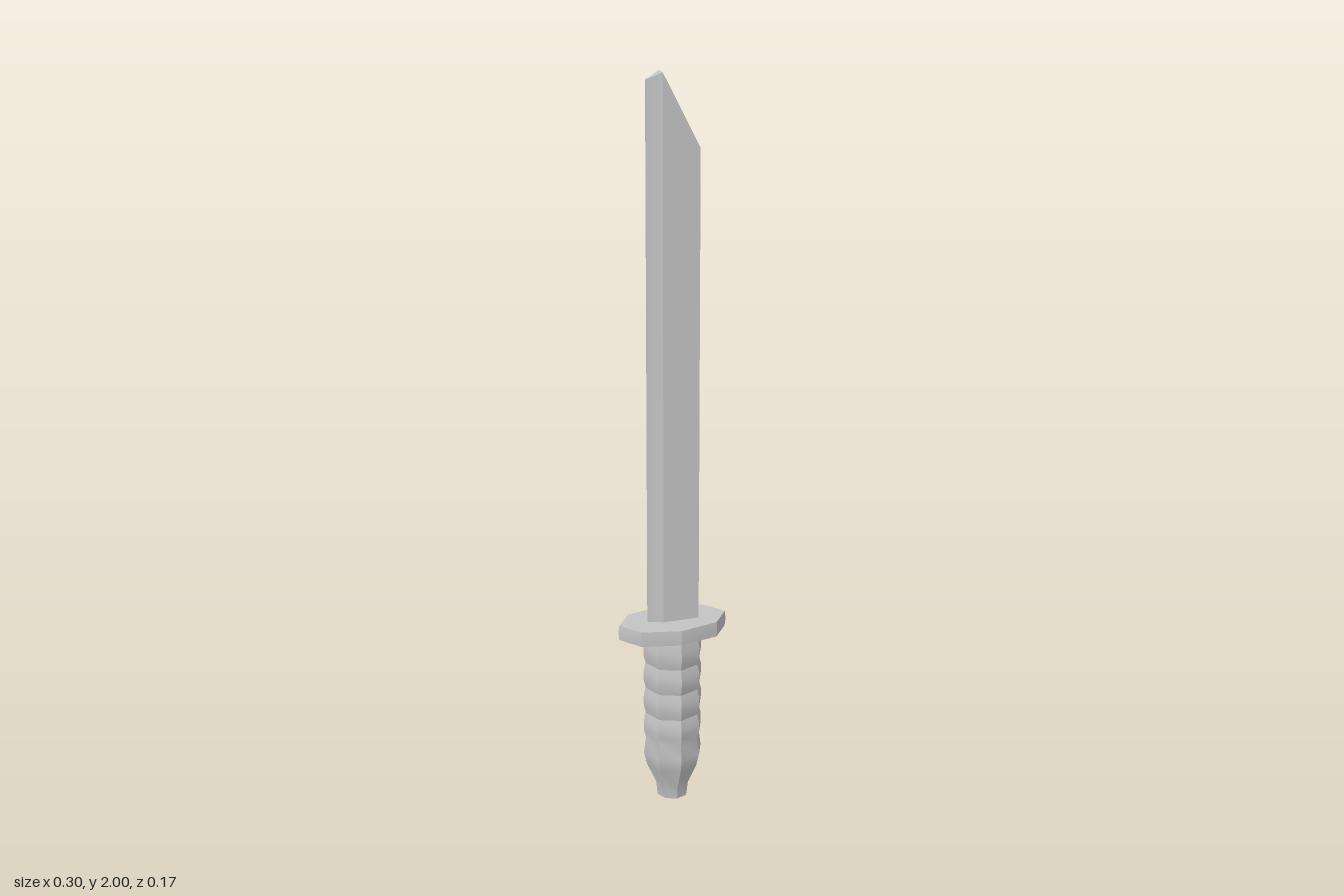
import * as THREE from 'three';
import { toCreasedNormals } from 'three/addons/utils/BufferGeometryUtils.js';

const steel = new THREE.MeshStandardMaterial({ color: 0xc4c4c4 });
steel.name = 'grey steel';

function part(name, geometry) {
  const mesh = new THREE.Mesh(toCreasedNormals(geometry, 0.4), steel);
  mesh.name = name;
  return mesh;
}

// Blade: a box whose four columns of vertices follow the cutting edge, bevel and slanted tip
function bladeGeometry() {
  const columns = [ // x, half thickness, top height
    [-0.069, 0.003, 1.982],
    [-0.052, 0.007, 1.989],
    [-0.03, 0.017, 2.0],
    [0.068, 0.017, 1.805],
  ];
  const geometry = new THREE.BoxGeometry(1, 1, 1, 3, 1, 1);
  const pos = geometry.attributes.position;
  for (let i = 0; i < pos.count; i++) {
    const [x, half, top] = columns[Math.round((pos.getX(i) + 0.5) * 3)];
    pos.setXYZ(i, x, pos.getY(i) > 0 ? top : 0.5, Math.sign(pos.getZ(i)) * half);
  }
  return geometry;
}

// Guard: an eight-sided plate stretched sideways, slightly fuller at mid height
function guardGeometry() {
  const geometry = new THREE.CylinderGeometry(1, 1, 0.042, 8, 2);
  const pos = geometry.attributes.position;
  for (let i = 0; i < pos.count; i++) {
    const s = Math.abs(pos.getY(i)) < 0.01 ? 1 : 0.985;
    pos.setX(i, pos.getX(i) * 0.15 * s);
    pos.setZ(i, pos.getZ(i) * 0.084 * s);
  }
  return geometry.translate(0, 0.504, 0);
}

// Grip: eight-sided turned profile with a tapered pommel and a row of finger swells
function gripGeometry() {
  const profile = [[0, 0], [0.042, 0], [0.047, 0.04], [0.073, 0.1], [0.081, 0.135]];
  for (let i = 0; i < 4; i++) {
    const y = 0.18 + i * 0.075;
    profile.push([0.075, y], [0.081, y + 0.025], [0.081, y + 0.05]);
  }
  profile.push([0.075, 0.49]);
  return new THREE.LatheGeometry(profile.map(([r, y]) => new THREE.Vector2(r, y)), 8);
}

export function createModel() {
  const group = new THREE.Group();
  group.name = 'shortSword';
  group.add(
    part('blade', bladeGeometry()),
    part('guard', guardGeometry()),
    part('grip', gripGeometry()),
  );
  return group;
}
